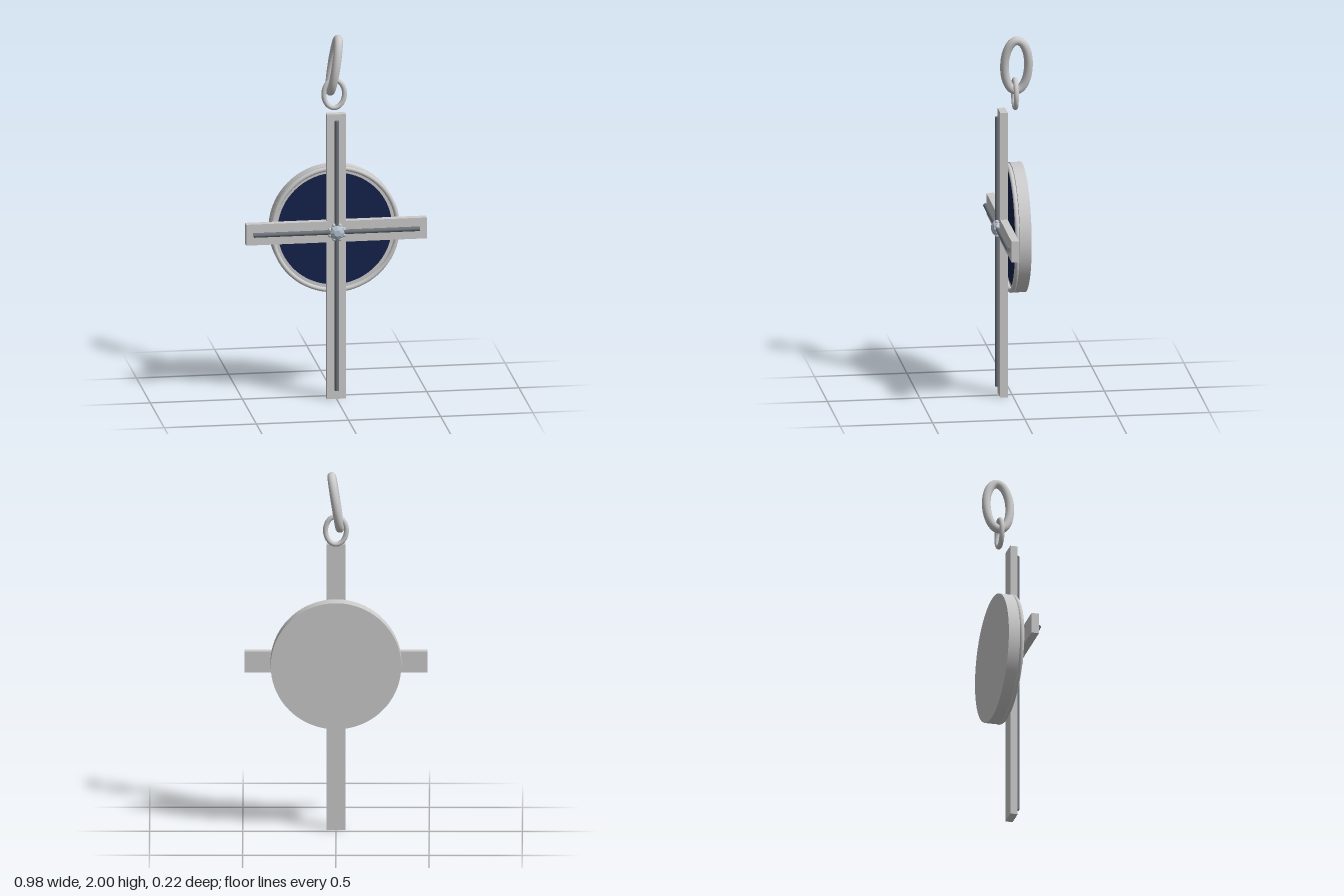
import * as THREE from 'three';

const CY = 0.932; // height of the crossing and the disc centre
const metal = new THREE.MeshStandardMaterial({ color: 0xcccccc });
const darkMetal = new THREE.MeshStandardMaterial({ color: 0x6a7178 });
const enamel = new THREE.MeshStandardMaterial({ color: 0x14224c });
const crystal = new THREE.MeshStandardMaterial({ color: 0xb4c2d2, flatShading: true });

function add(parent, name, geometry, material, x = 0, y = 0, z = 0) {
  const mesh = new THREE.Mesh(geometry, material);
  mesh.name = name;
  mesh.position.set(x, y, z);
  parent.add(mesh);
  return mesh;
}

// Round disc whose axis runs along z, between two depths
function discGeometry(radius, z0, z1) {
  return new THREE.CylinderGeometry(radius, radius, z1 - z0, 96)
    .rotateX(Math.PI / 2).translate(0, 0, (z0 + z1) / 2);
}

// Closed oval wire ring lying in the xy plane
function ovalRing(rx, ry, tube) {
  const points = [];
  for (let i = 0; i < 32; i++) {
    const a = (i / 32) * Math.PI * 2;
    points.push(new THREE.Vector3(rx * Math.cos(a), ry * Math.sin(a), 0));
  }
  return new THREE.TubeGeometry(new THREE.CatmullRomCurve3(points, true), 96, tube, 20, true);
}

export function createModel() {
  const group = new THREE.Group();
  group.name = 'crossPendant';

  // Medallion behind the cross: backing, enamel face and raised rim
  const medallion = new THREE.Group();
  medallion.name = 'medallion';
  medallion.position.y = CY;
  group.add(medallion);
  add(medallion, 'backingDisc', discGeometry(0.35, -0.058, 0.005), metal);
  add(medallion, 'enamelFace', discGeometry(0.31, 0, 0.009), enamel);
  add(medallion, 'rim', new THREE.TorusGeometry(0.339, 0.0125, 16, 96), metal, 0, 0, 0.018);

  // Flat cross plate
  const w = 0.052, h = 0.058, arm = 0.49, top = 1.585;
  const outline = new THREE.Shape([
    [-w, 0], [w, 0], [w, CY - h], [arm, CY - h], [arm, CY + h], [w, CY + h],
    [w, top], [-w, top], [-w, CY + h], [-arm, CY + h], [-arm, CY - h], [-w, CY - h],
  ].map(([x, y]) => new THREE.Vector2(x, y)));
  add(group, 'crossPlate',
    new THREE.ExtrudeGeometry(outline, { depth: 0.041, bevelEnabled: false }), metal, 0, 0, 0.03);

  // Dark round rods along the middle of the arms
  add(group, 'uprightRod', new THREE.CylinderGeometry(0.0125, 0.0125, 1.5, 20), darkMetal, 0, 0.8, 0.081);
  add(group, 'crossRod', new THREE.CylinderGeometry(0.0125, 0.0125, 0.9, 20).rotateZ(Math.PI / 2),
    darkMetal, 0, CY, 0.081);

  // Faceted stone in a ring of prongs
  const setting = new THREE.Group();
  setting.name = 'stoneSetting';
  setting.position.set(0, CY, 0);
  group.add(setting);
  const profile = [[0, 0.07], [0.036, 0.07], [0.044, 0.086], [0.034, 0.102], [0.018, 0.111], [0, 0.111]]
    .map(([r, z]) => new THREE.Vector2(r, z));
  add(setting, 'stone', new THREE.LatheGeometry(profile, 8).rotateX(Math.PI / 2), crystal);
  for (let i = 0; i < 8; i++) {
    const a = ((i + 0.5) / 8) * Math.PI * 2;
    add(setting, 'prong', new THREE.SphereGeometry(0.011, 12, 8), metal,
      0.041 * Math.cos(a), 0.041 * Math.sin(a), 0.084);
  }

  // Small link above the cross and the larger tilted ring through it
  add(group, 'smallLink', ovalRing(0.056, 0.077, 0.0135), metal, 0, 1.676, -0.016);
  const bail = add(group, 'largeRing', ovalRing(0.065, 0.145, 0.0235).rotateY(Math.PI / 2),
    metal, 0.001, 1.833, -0.024);
  bail.rotation.z = -0.153;

  return group;
}
